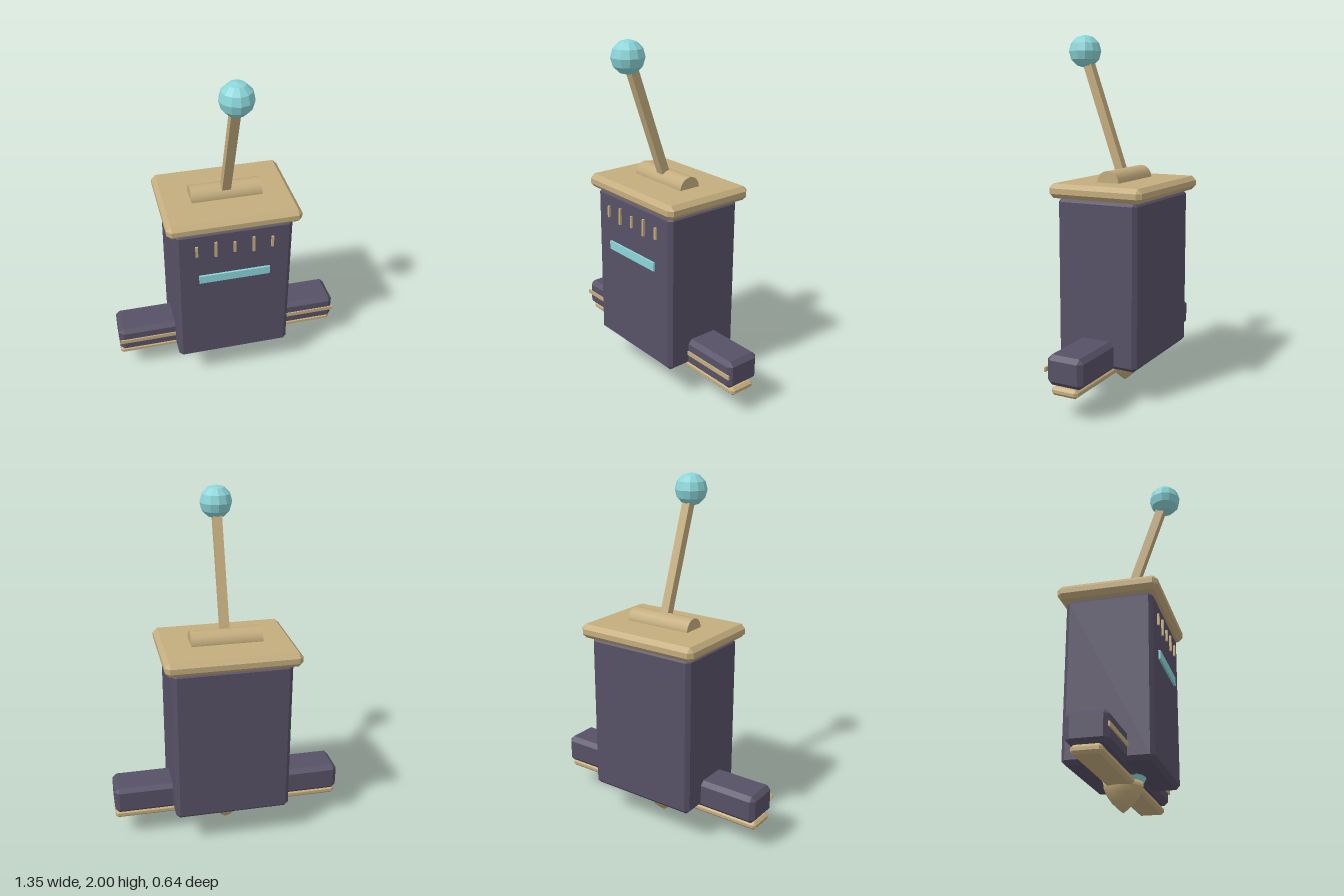
import * as THREE from 'three';
import { ConvexGeometry } from 'three/addons/geometries/ConvexGeometry.js';

const CZ = -0.035; // depth centre shared by the main parts

// Box whose edges and corners are all cut by a single flat bevel
function bevelBox(w, h, d, b) {
  const pts = [];
  for (const x of [-w / 2, w / 2]) for (const y of [-h / 2, h / 2]) for (const z of [-d / 2, d / 2]) {
    const ix = x - Math.sign(x) * b, iy = y - Math.sign(y) * b, iz = z - Math.sign(z) * b;
    pts.push(new THREE.Vector3(x, iy, iz), new THREE.Vector3(ix, y, iz), new THREE.Vector3(ix, iy, z));
  }
  return new ConvexGeometry(pts);
}

export function createModel() {
  const group = new THREE.Group();
  group.name = 'leverBox';
  const material = (name, color, flatShading = false) => {
    const m = new THREE.MeshStandardMaterial({ color, flatShading });
    m.name = name;
    return m;
  };
  const dark = material('dark slate', 0x575166);
  const tan = material('brass', 0xc4ad7e);
  const cyan = material('pale cyan', 0x8bd5d9, true);

  const add = (name, geometry, mat, x, y, z) => {
    const mesh = new THREE.Mesh(geometry, mat);
    mesh.name = name;
    mesh.position.set(x, y, z);
    group.add(mesh);
    return mesh;
  };

  // Housing and lid
  add('body', bevelBox(0.67, 0.925, 0.485, 0.022), dark, 0, 0.648, -0.033);
  add('lid', bevelBox(0.756, 0.08, 0.565, 0.025), tan, 0, 1.15, -0.038);

  // Half-sunk pivot barrel on the lid
  const barrel = new THREE.CylinderGeometry(0.067, 0.067, 0.405, 16);
  barrel.rotateZ(Math.PI / 2);
  add('pivotBarrel', barrel, tan, 0, 1.189, CZ);

  // Lever leaning forward to its knob
  const foot = new THREE.Vector3(0, 1.23, -0.015);
  const knob = new THREE.Vector3(0, 1.908, 0.223);
  const mid = foot.clone().add(knob).multiplyScalar(0.5);
  const lever = add('lever', new THREE.BoxGeometry(0.05, foot.distanceTo(knob), 0.05), tan, mid.x, mid.y, mid.z);
  lever.rotation.x = Math.atan2(knob.z - foot.z, knob.y - foot.y);
  add('knob', new THREE.SphereGeometry(0.092, 12, 6), cyan, knob.x, knob.y, knob.z);

  // Front tick marks and light bar
  for (let i = -2; i <= 2; i++) {
    const height = i % 2 ? 0.097 : 0.067;
    add('tickMark', new THREE.BoxGeometry(0.014, height, 0.016), tan, i * 0.108, 0.992, 0.214);
  }
  add('lightBar', new THREE.BoxGeometry(0.41, 0.05, 0.016), cyan, 0, 0.79, 0.214);

  // Cross arm, its front trim and the plank below
  add('crossArm', bevelBox(1.35, 0.164, 0.215, 0.025), dark, 0, 0.26, CZ);
  add('armTrim', new THREE.BoxGeometry(1.35, 0.024, 0.009), tan, 0, 0.262, 0.0755);
  add('plank', bevelBox(1.35, 0.047, 0.157, 0.015), tan, 0, 0.153, CZ);

  // Collar and pointed finial underneath
  add('collar', new THREE.CylinderGeometry(0.126, 0.108, 0.03, 16), cyan, 0, 0.175, CZ);
  const profile = [[0, 0], [0.03, 0.025], [0.062, 0.056], [0.09, 0.095], [0.105, 0.13], [0.108, 0.163], [0, 0.163]]
    .map(([r, y]) => new THREE.Vector2(r, y));
  add('finial', new THREE.LatheGeometry(profile, 16), tan, 0, 0, CZ);

  return group;
}
